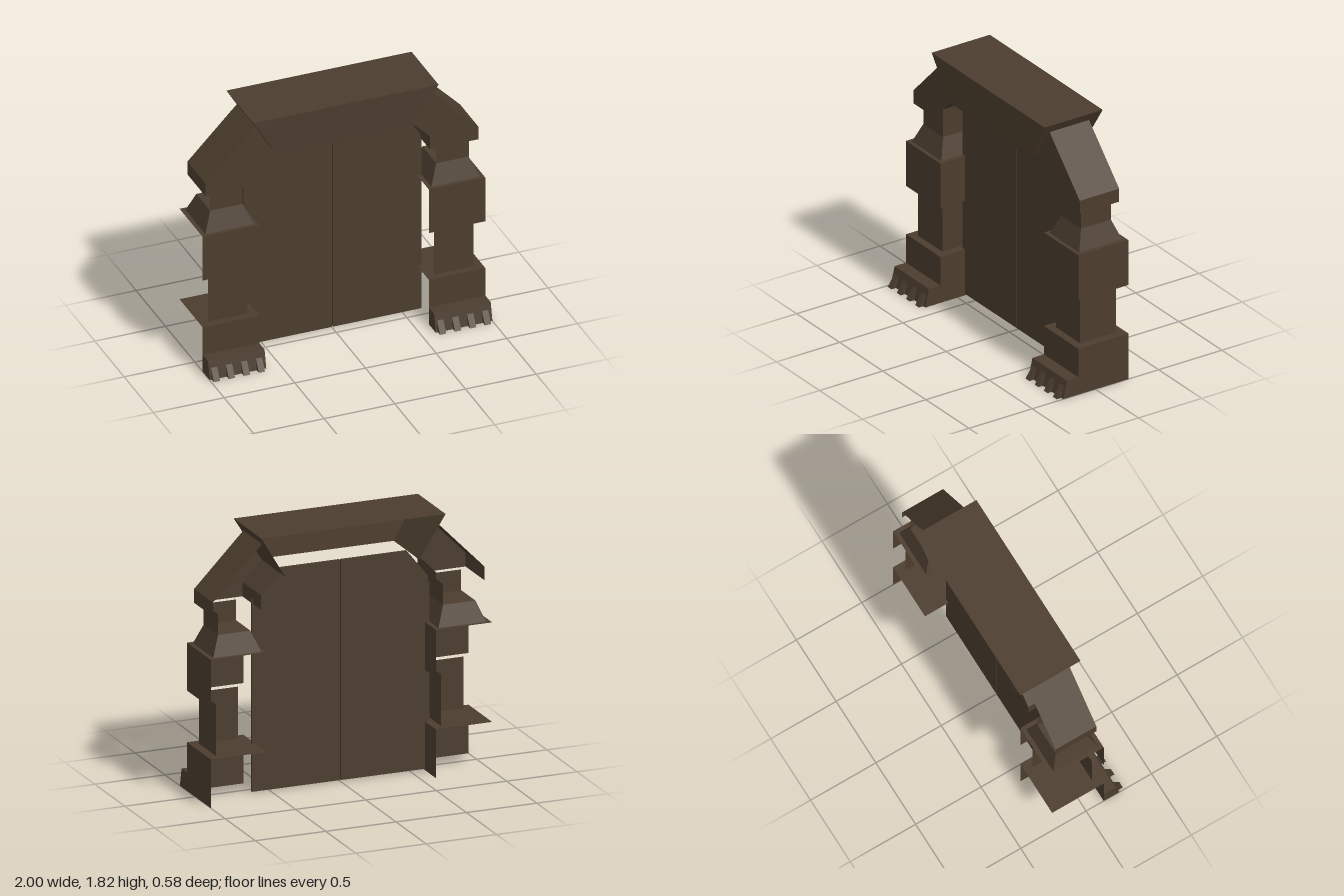
import * as THREE from 'three';

const brown = new THREE.MeshStandardMaterial({ color: 0x4c3d2e, side: THREE.DoubleSide });
brown.name = 'dark brown';

// mesh from a list of four-cornered panels, flat shaded
function panels(name, quads) {
  const pos = [];
  for (const [a, b, c, d] of quads) pos.push(...a, ...b, ...c, ...a, ...c, ...d);
  const g = new THREE.BufferGeometry();
  g.setAttribute('position', new THREE.Float32BufferAttribute(pos, 3));
  g.computeVertexNormals();
  const mesh = new THREE.Mesh(g, brown);
  mesh.name = name;
  return mesh;
}

// open block between two rectangles [x0, x1, z0, z1] at heights y0 and y1
function block(name, y0, low, y1, high, faces) {
  const ring = ([x0, x1, z0, z1], y) => [[x0, y, z1], [x1, y, z1], [x1, y, z0], [x0, y, z0]];
  const b = ring(low, y0), t = ring(high, y1);
  const side = (i, j) => [b[i], b[j], t[j], t[i]];
  const all = { front: side(0, 1), left: side(1, 2), back: side(2, 3), right: side(3, 0), top: t };
  return panels(name, faces.map(f => all[f]));
}

// clawed foot in front of the column base
function makeFoot(cx) {
  const foot = new THREE.Group();
  foot.name = 'foot';
  foot.add(block('footBody', 0, [cx - 0.2, cx + 0.2, 0.135, 0.255],
    0.127, [cx - 0.2, cx + 0.2, 0.135, 0.225], ['front', 'left', 'right', 'top']));
  for (let i = 0; i < 4; i++) {
    const x = cx - 0.163 + i * 0.106;
    foot.add(block('claw', 0, [x - 0.022, x + 0.022, 0.24, 0.29],
      0.08, [x - 0.022, x + 0.022, 0.23, 0.238], ['front', 'left', 'right', 'top']));
  }
  return foot;
}

// column of stacked open blocks; both columns face the same way
function makeColumn(name, cx) {
  const col = new THREE.Group();
  col.name = name;
  const rect = (w, z0, z1) => [cx - w, cx + w, z0, z1];
  const wide = rect(0.2, -0.26, 0.135);
  const shaft = rect(0.14, -0.203, 0.08);
  const neck = rect(0.115, -0.18, 0.056);
  col.add(
    block('base', 0, wide, 0.335, wide, ['front', 'left', 'top']),
    block('shaft', 0.335, shaft, 0.69, shaft, ['front', 'left']),
    block('middleBlock', 0.69, wide, 1.02, wide, ['front', 'left', 'top']),
    block('taper', 1.02, rect(0.17, -0.232, 0.108), 1.157, neck, ['front', 'left', 'back', 'right', 'top']),
    block('neck', 1.157, neck, 1.3, neck, ['front', 'left']),
    makeFoot(cx));
  return col;
}

// angled brace from column to lintel, open at the back
function makeBrace(name, s) {
  const outer = [[0.965, 1.3], [0.965, 1.395], [0.615, 1.752]];
  const inner = [[0.622, 1.3], [0.622, 1.4], [0.485, 1.535]];
  const at = ([x, y], z) => [s * x, y, z];
  const quads = [];
  for (let i = 0; i < 2; i++) {
    quads.push([at(inner[i], 0.1), at(outer[i], 0.1), at(outer[i + 1], 0.1), at(inner[i + 1], 0.1)]);
    quads.push([at(outer[i], 0.1), at(outer[i], -0.212), at(outer[i + 1], -0.212), at(outer[i + 1], 0.1)]);
    quads.push([at(inner[i], -0.212), at(inner[i], 0.1), at(inner[i + 1], 0.1), at(inner[i + 1], -0.212)]);
  }
  return panels(name, quads);
}

// door leaf with a clipped upper corner
function makeDoor(name, s) {
  const shape = new THREE.Shape([[0.004, 0.01], [0.63, 0.01], [0.63, 1.325], [0.47, 1.525], [0.004, 1.525]]
    .map(([x, y]) => new THREE.Vector2(s * x, y)));
  const g = new THREE.ExtrudeGeometry(shape, { depth: 0.02, bevelEnabled: false });
  g.translate(0, 0, -0.08);
  const door = new THREE.Mesh(g, brown);
  door.name = name;
  return door;
}

export function createModel() {
  const gate = new THREE.Group();
  gate.name = 'gate';
  for (const [side, s] of [['left', 1], ['right', -1]]) {
    gate.add(makeColumn(side + 'Column', s * 0.8), makeBrace(side + 'Brace', s), makeDoor(side + 'Door', s));
  }
  // flared lintel, open below and behind
  gate.add(block('lintel', 1.525, [-0.475, 0.475, -0.275, 0.15],
    1.82, [-0.655, 0.655, -0.293, 0.167], ['front', 'left', 'right', 'top']));
  return gate;
}
